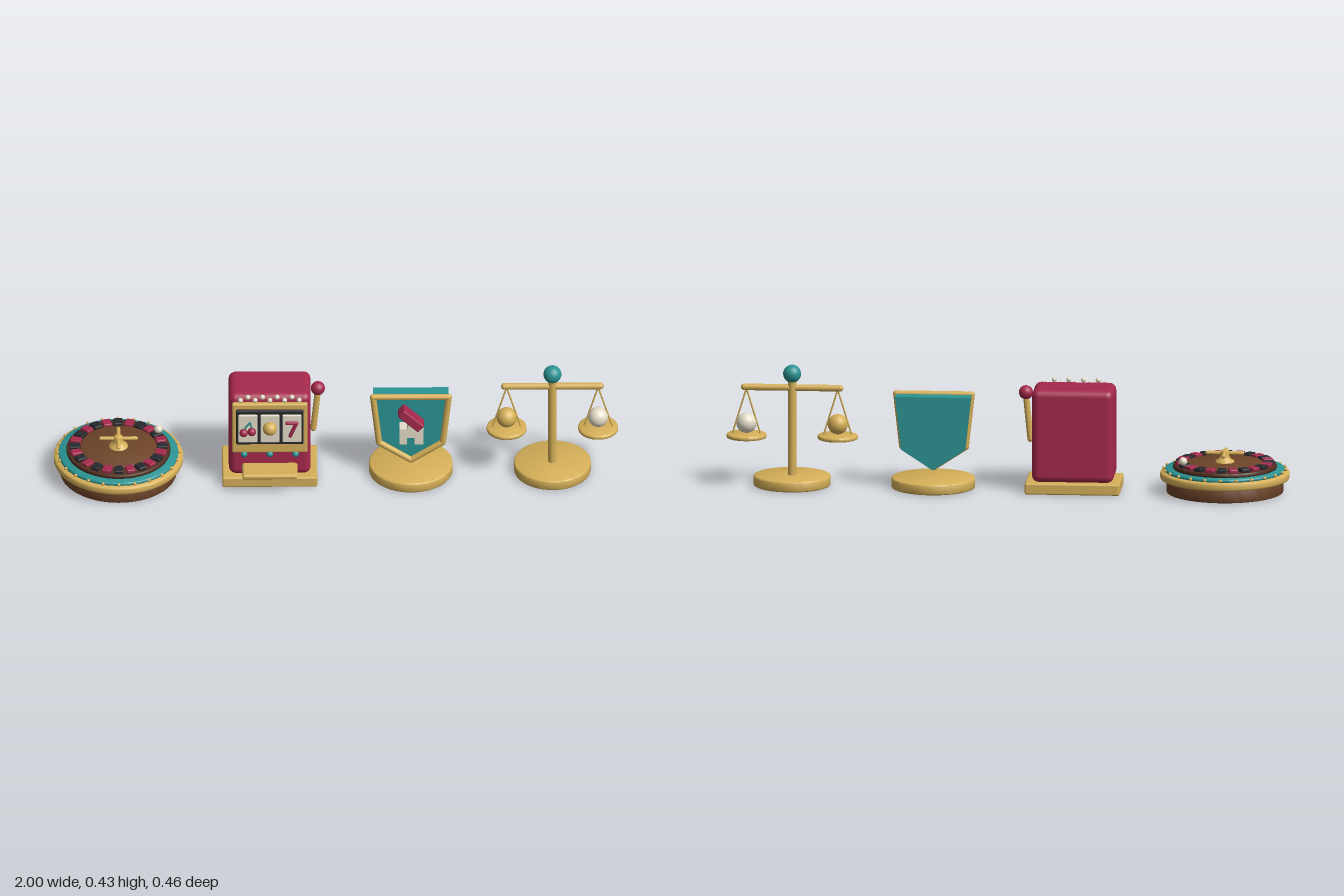
import * as THREE from 'three';
import { toCreasedNormals } from 'three/addons/utils/BufferGeometryUtils.js';
import { RoundedBoxGeometry } from 'three/addons/geometries/RoundedBoxGeometry.js';

const mat = (color) => new THREE.MeshStandardMaterial({ color });
const M = {
  gold: mat(0xd6b059), red: mat(0xa5294c), teal: mat(0x2b9494), wood: mat(0x6e4529),
  darkWood: mat(0x4f2f20), cream: mat(0xe4ddc8), black: mat(0x26292d),
};

function add(parent, name, geometry, material, x = 0, y = 0, z = 0) {
  const mesh = new THREE.Mesh(geometry, material);
  mesh.name = name;
  mesh.position.set(x, y, z);
  parent.add(mesh);
  return mesh;
}
const group = (name, x) => {
  const g = new THREE.Group();
  g.name = name;
  g.position.x = x;
  return g;
};
const ball = (r) => new THREE.SphereGeometry(r, 24, 16);
const box = (w, h, d, r = 0.004) => new RoundedBoxGeometry(w, h, d, 3, r);

// Solid disc between two heights with softened edges
function disc(r, y0, y1, b = 0.004) {
  const pts = [[0, y0], [r - b, y0], [r - b * 0.3, y0 + b * 0.3], [r, y0 + b],
    [r, y1 - b], [r - b * 0.3, y1 - b * 0.3], [r - b, y1], [0, y1]];
  return toCreasedNormals(new THREE.LatheGeometry(pts.map((p) => new THREE.Vector2(...p)), 64), 0.9);
}

// Round-ended bar between two points
function bar(parent, name, a, b, r, material) {
  const A = new THREE.Vector3(...a), B = new THREE.Vector3(...b);
  const d = B.clone().sub(A);
  const m = add(parent, name, new THREE.CapsuleGeometry(r, d.length(), 6, 14), material);
  m.position.copy(A).lerp(B, 0.5);
  m.quaternion.setFromUnitVectors(new THREE.Vector3(0, 1, 0), d.normalize());
  return m;
}

function extrude(points, depth) {
  const shape = new THREE.Shape(points.map((p) => new THREE.Vector2(...p)));
  return new THREE.ExtrudeGeometry(shape, { depth, bevelEnabled: false });
}

function rouletteWheel() {
  const g = group('rouletteWheel', -0.77);
  add(g, 'bowl', disc(0.207, 0, 0.05), M.wood);
  add(g, 'goldRim', disc(0.229, 0.047, 0.076, 0.007), M.gold);
  add(g, 'tealTrack', disc(0.212, 0.074, 0.087), M.teal);
  add(g, 'innerRing', disc(0.184, 0.085, 0.101), M.darkWood);
  add(g, 'turntable', disc(0.136, 0.1, 0.107), M.wood);
  // 24 pockets and 24 rim studs
  for (let i = 0; i < 24; i++) {
    const a = (i / 24) * Math.PI * 2, s = Math.sin(a), c = Math.cos(a);
    const pocket = add(g, 'pocket', box(0.031, 0.014, 0.038), i % 2 ? M.red : M.black, s * 0.155, 0.107, c * 0.155);
    pocket.rotation.y = a;
    add(g, 'rimStud', new THREE.SphereGeometry(0.006, 12, 8), M.gold, s * 0.216, 0.083, c * 0.216);
  }
  // Turret with crossed handles
  const turret = [[0.034, 0.105], [0.032, 0.113], [0.02, 0.12], [0.015, 0.132], [0.017, 0.145], [0.012, 0.151], [0, 0.153]];
  add(g, 'turret', new THREE.LatheGeometry(turret.map((p) => new THREE.Vector2(...p)), 32), M.gold);
  bar(g, 'handleX', [-0.062, 0.14, 0], [0.062, 0.14, 0], 0.007, M.gold);
  bar(g, 'handleZ', [0, 0.14, -0.062], [0, 0.14, 0.062], 0.007, M.gold);
  add(g, 'wheelBall', ball(0.015), M.cream, 0.142, 0.124, -0.083);
  return g;
}

function slotMachine() {
  const g = group('slotMachine', -0.235);
  add(g, 'base', box(0.336, 0.04, 0.216, 0.006), M.gold, 0, 0.02, 0);
  add(g, 'cabinet', box(0.29, 0.335, 0.177, 0.025), M.red, 0, 0.2055, 0);
  add(g, 'frontFrame', box(0.268, 0.205, 0.02, 0.007), M.gold, 0, 0.2455, 0.095);
  add(g, 'window', box(0.238, 0.142, 0.012), M.black, 0, 0.256, 0.109);
  for (const i of [-1, 0, 1]) {
    add(g, 'reel', box(0.068, 0.114, 0.01), M.cream, i * 0.078, 0.255, 0.118);
    add(g, 'button', ball(0.012), M.teal, i * 0.091, 0.137, 0.101);
  }
  // Cherries
  add(g, 'cherry', ball(0.015), M.red, -0.093, 0.243, 0.128);
  add(g, 'cherry', ball(0.015), M.red, -0.064, 0.247, 0.128);
  bar(g, 'cherryStem', [-0.093, 0.255, 0.126], [-0.07, 0.285, 0.126], 0.003, M.teal);
  bar(g, 'cherryStem', [-0.064, 0.26, 0.126], [-0.07, 0.285, 0.126], 0.003, M.teal);
  add(g, 'coin', ball(0.025), M.gold, 0, 0.26, 0.127);
  // Lucky seven
  bar(g, 'sevenTop', [0.062, 0.283, 0.128], [0.094, 0.283, 0.128], 0.007, M.red);
  bar(g, 'sevenLeg', [0.094, 0.283, 0.128], [0.072, 0.23, 0.128], 0.007, M.red);
  add(g, 'payoutTray', box(0.196, 0.02, 0.092, 0.009), M.gold, 0, 0.081, 0.125);
  // Zigzag of bulbs along the top
  for (let i = 0; i < 9; i++)
    add(g, 'bulb', ball(0.009), M.cream, (i - 4) * 0.026, i % 2 ? 0.375 : 0.362, 0.1);
  // Side lever
  bar(g, 'lever', [0.155, 0.18, 0], [0.171, 0.34, 0], 0.011, M.gold);
  add(g, 'leverKnob', ball(0.025), M.red, 0.171, 0.348, 0);
  return g;
}

function shieldTrophy() {
  const g = group('shieldTrophy', 0.265);
  add(g, 'base', disc(0.148, 0, 0.037), M.gold);
  const outline = [[-0.134, 0.33], [-0.113, 0.14], [0, 0.066], [0.113, 0.14], [0.134, 0.33]];
  add(g, 'shield', extrude(outline, 0.06), M.teal, 0, 0, -0.03);
  outline.forEach((p, i) => {
    const q = outline[(i + 1) % outline.length];
    bar(g, 'shieldBorder', [...p, 0.033], [...q, 0.033], 0.011, M.gold);
  });
  // Emblem: small arch with a tilted bar above
  const arch = [[-0.04, 0.157], [-0.014, 0.157], [-0.014, 0.186], [0.012, 0.186], [0.012, 0.157],
    [0.044, 0.157], [0.044, 0.215], [0.022, 0.24], [-0.006, 0.24], [-0.014, 0.222], [-0.04, 0.222]];
  add(g, 'emblemArch', extrude(arch, 0.048), M.cream, 0, 0, 0.028);
  const roof = add(g, 'emblemBar', box(0.098, 0.034, 0.052, 0.005), M.red, 0, 0.256, 0.056);
  roof.rotation.z = -0.75;
  return g;
}

function balanceScale() {
  const g = group('balanceScale', 0.766);
  add(g, 'base', disc(0.136, 0, 0.037), M.gold);
  add(g, 'post', new THREE.CylinderGeometry(0.015, 0.015, 0.345, 24), M.gold, 0, 0.207, 0);
  add(g, 'finial', ball(0.032), M.teal, 0, 0.402, 0);
  bar(g, 'beam', [-0.17, 0.352, 0], [0.17, 0.352, 0], 0.012, M.gold);
  for (const s of [-1, 1]) {
    const x = s * 0.162;
    add(g, 'pan', disc(0.071, 0.169, 0.184), M.gold, x);
    add(g, 'weight', ball(0.036), s < 0 ? M.gold : M.cream, x, 0.222, 0);
    for (const t of [-1, 1])
      bar(g, 'hanger', [x, 0.347, 0], [x + t * 0.05, 0.183, 0], 0.003, M.gold);
  }
  return g;
}

export function createModel() {
  const model = new THREE.Group();
  model.name = 'tableSet';
  model.add(rouletteWheel(), slotMachine(), shieldTrophy(), balanceScale());
  return model;
}
